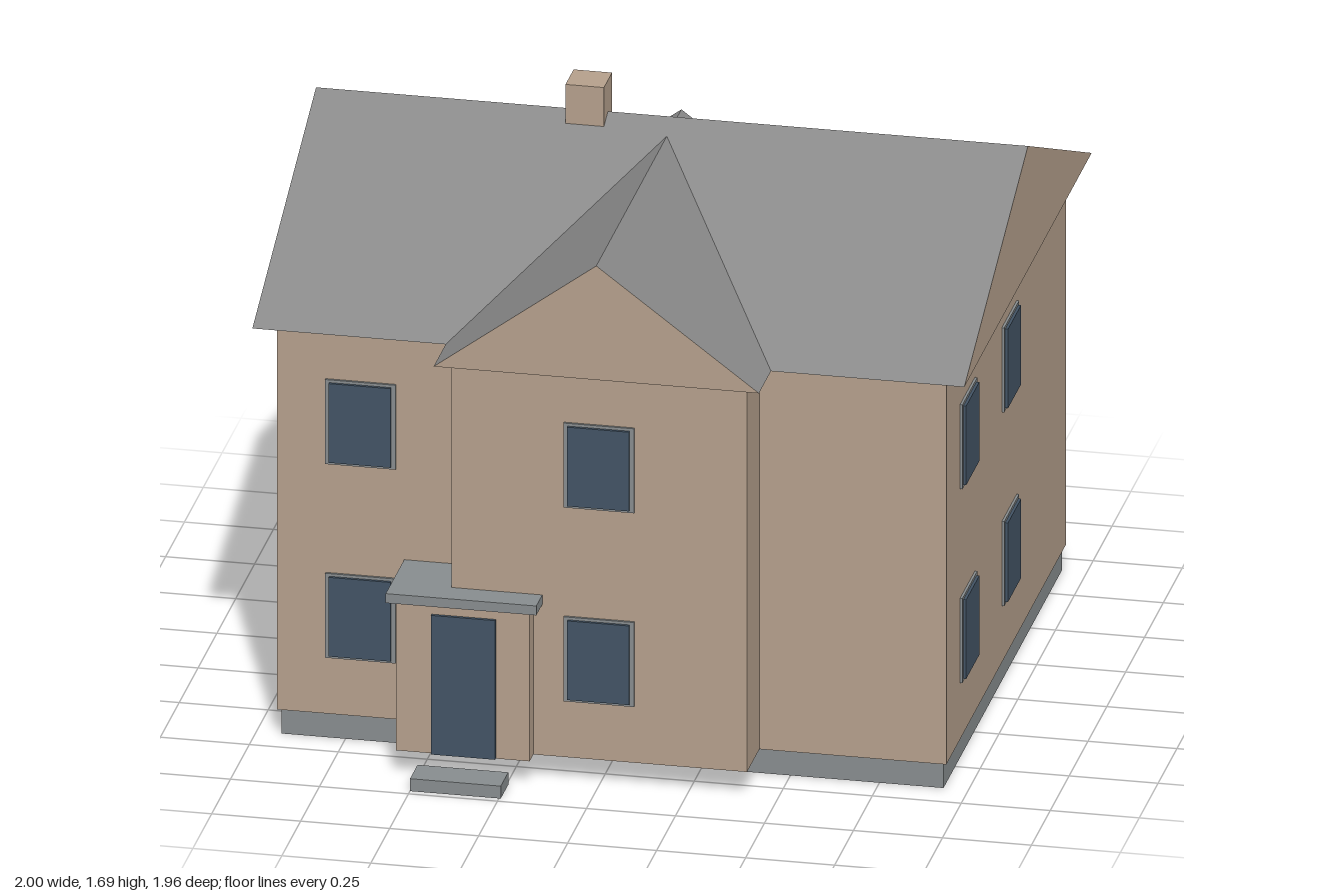
import * as THREE from 'three';

const flat = (name, color) => {
  const m = new THREE.MeshStandardMaterial({ color });
  m.name = name;
  return m;
};

export function createModel() {
  const house = new THREE.Group();
  house.name = 'house';
  const wall = flat('tan wall', 0xb49f8b);
  const roof = flat('grey roof', 0x888888);
  const trim = flat('stone trim', 0x878c8e);
  const glass = flat('dark blue glass', 0x425364);

  // Box given by its lower and upper limits
  const block = (name, mat, [x0, x1], [y0, y1], [z0, z1], parent = house) => {
    const mesh = new THREE.Mesh(new THREE.BoxGeometry(x1 - x0, y1 - y0, z1 - z0), mat);
    mesh.position.set((x0 + x1) / 2, (y0 + y1) / 2, (z0 + z1) / 2);
    mesh.name = name;
    parent.add(mesh);
    return mesh;
  };

  // Gabled prism: wall-coloured ends, roof-coloured slopes and underside
  const gable = (name, a, b, ridge, y0, y1, length) => {
    const shape = new THREE.Shape([
      new THREE.Vector2(a, y0), new THREE.Vector2(b, y0), new THREE.Vector2(ridge, y1),
    ]);
    const geo = new THREE.ExtrudeGeometry(shape, { depth: length, bevelEnabled: false });
    const mesh = new THREE.Mesh(geo, [wall, roof]);
    mesh.name = name;
    house.add(mesh);
    return mesh;
  };

  // Body
  block('foundation', trim, [-0.93, 0.93], [0, 0.075], [-0.917, 0.655]);
  block('mainWalls', wall, [-0.94, 0.94], [0.075, 1.225], [-0.925, 0.665]);
  block('frontWing', wall, [-0.415, 0.415], [0.075, 1.225], [0.6, 0.83]);

  // Roofs and chimney
  const mainRoof = gable('mainRoof', -0.71, 0.98, 0.135, 1.225, 1.595, 2);
  mainRoof.rotation.y = Math.PI / 2;
  mainRoof.position.x = -1;
  gable('wingRoof', -0.457, 0.457, 0, 1.225, 1.565, 1.13).position.z = -0.26;
  block('chimney', wall, [-0.288, -0.18], [1.5, 1.688], [-0.19, -0.082]);

  // Entrance
  block('porch', wall, [-0.56, -0.185], [0.075, 0.525], [0.66, 0.88]);
  block('porchCanopy', trim, [-0.583, -0.16], [0.525, 0.553], [0.66, 0.91]);
  block('door', glass, [-0.46, -0.28], [0.075, 0.49], [0.88, 0.889]);
  block('doorStep', trim, [-0.5, -0.245], [0, 0.037], [0.88, 0.98]);

  // Windows: a thin frame with a slightly prouder pane
  const addWindow = (name, x, y, z, turn, framed = true) => {
    const g = new THREE.Group();
    g.name = name;
    if (framed) block('frame', trim, [-0.099, 0.099], [-0.126, 0.126], [0, 0.007], g);
    block('pane', glass, [-0.087, 0.087], [-0.118, 0.118], [0.006, 0.015], g);
    if (!framed) g.children[0].position.z = 0.0055;
    g.position.set(x, y, z);
    g.rotation.y = turn;
    house.add(g);
  };
  for (const y of [0.37, 0.948]) {
    addWindow('frontWindow', -0.705, y, 0.665, 0);
    addWindow('wingWindow', 0, y, 0.83, 0);
    addWindow('backWindow', 0.335, y, -0.925, Math.PI, false);
    for (const side of [-1, 1])
      for (const z of [0.385, -0.17])
        addWindow('sideWindow', side * 0.94, y, z, side * Math.PI / 2);
  }
  return house;
}
